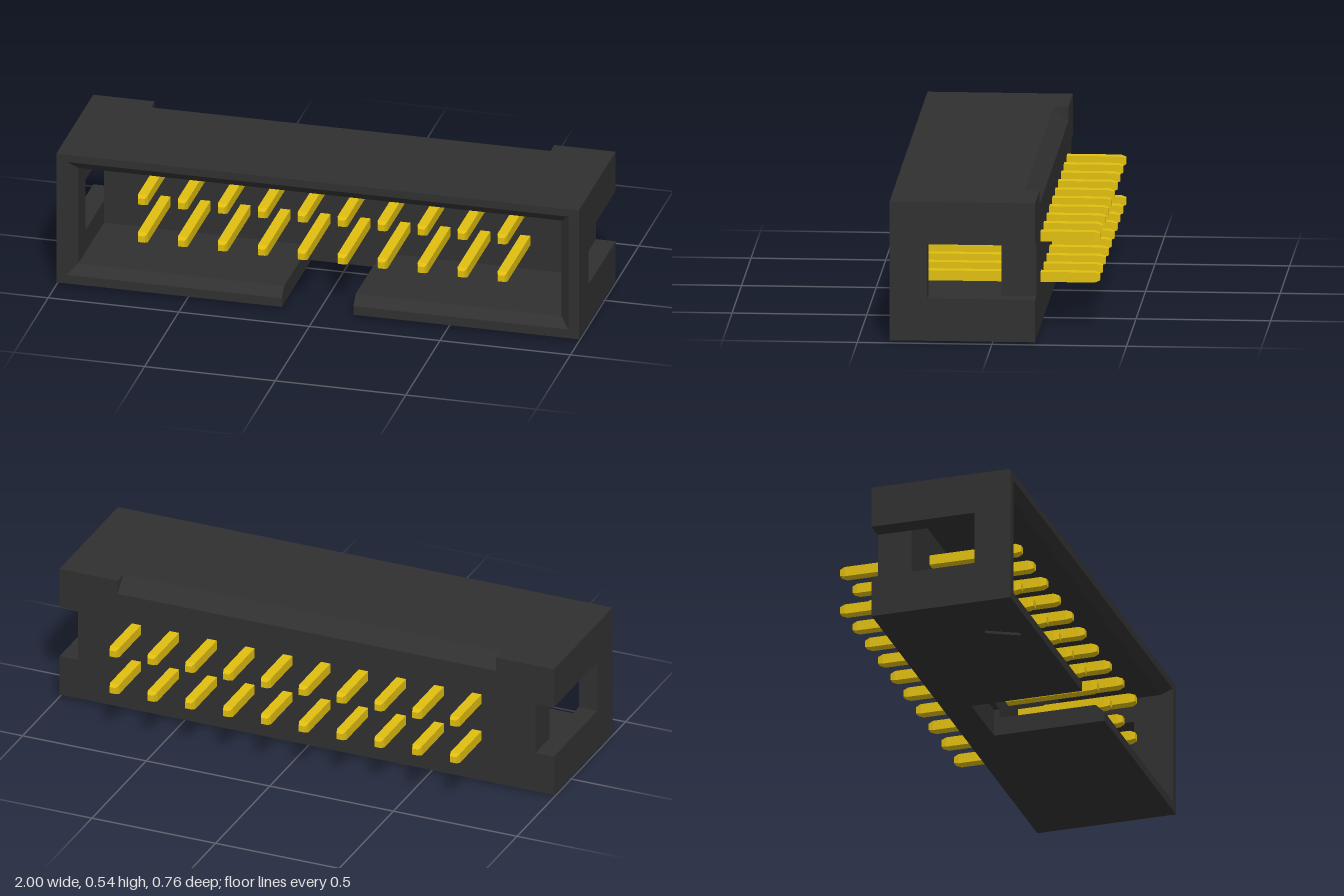
import * as THREE from 'three';

const X = 1, IX = 0.925;                  // outer and inner half width
const Y0 = 0.01, Y1 = 0.535;              // outer bottom and top
const IY0 = 0.08, IY1 = 0.47;             // cavity bottom and top
const WY0 = 0.17, WY1 = 0.375;            // side window bottom and top
const KEY = 0.137, KEY_TOP = 0.115;       // key slot half width and top in the base
const BACK = -0.16, FLOOR = -0.03, WINDOW = 0.24, FRONT = 0.38;
const LIP = 0.035, BEVEL = 0.055, BEVEL_X = 0.765;

export function createModel() {
  const group = new THREE.Group();
  const plastic = new THREE.MeshStandardMaterial({ color: 0x303030 });
  const gold = new THREE.MeshStandardMaterial({ color: 0xe0be10 });

  const add = (name, geometry, material = plastic) => {
    const mesh = new THREE.Mesh(geometry, material);
    mesh.name = name;
    group.add(mesh);
    return mesh;
  };
  // Cross-section in x, y swept from z0 to z1
  const slab = (points, z0, z1) => {
    const shape = new THREE.Shape(points.map(([x, y]) => new THREE.Vector2(x, y)));
    return new THREE.ExtrudeGeometry(shape, { depth: z1 - z0, bevelEnabled: false }).translate(0, 0, z0);
  };
  // Right half of an outline (bottom to top) mirrored into a closed loop
  const mirrored = (half) => [...half, ...half.slice().reverse().map(([x, y]) => [-x, y])];

  // Front frame, open at the key slot
  const frame = [
    [KEY, Y0], [X, Y0], [X, Y1], [-X, Y1], [-X, Y0], [-KEY, Y0],
    [-KEY, IY0], [-IX, IY0], [-IX, IY1], [IX, IY1], [IX, IY0], [KEY, IY0],
  ];
  add('frontFrame', slab(frame, WINDOW, FRONT - LIP));

  // Chamfered lip: inner front corners spread outwards
  const lip = slab(frame, FRONT - LIP, FRONT);
  const p = lip.attributes.position;
  for (let i = 0; i < p.count; i++) {
    const x = p.getX(i), y = p.getY(i);
    if (p.getZ(i) < FRONT - LIP / 2 || y < IY0 - 0.001 || y > IY1 + 0.001 || Math.abs(x) > IX + 0.001) continue;
    p.setY(i, y < 0.25 ? y - LIP : y + LIP);
    if (Math.abs(x) > 0.5) p.setX(i, x + Math.sign(x) * LIP);
  }
  lip.computeVertexNormals();
  add('chamferedLip', lip);

  // Walls above and below the side windows
  add('topWall', slab([
    [X, WY1], [X, Y1], [-X, Y1], [-X, WY1], [-IX, WY1], [-IX, IY1], [IX, IY1], [IX, WY1],
  ], FLOOR, WINDOW));
  const lowerWall = [[KEY, Y0], [X, Y0], [X, WY0], [IX, WY0], [IX, IY0], [KEY, IY0]];
  add('bottomWallLeft', slab(lowerWall, FLOOR, WINDOW));
  add('bottomWallRight', slab(lowerWall.map(([x, y]) => [-x, y]).reverse(), FLOOR, WINDOW));

  // Base with recessed ends, the key slot cut slightly into its front
  const side = [[X, Y0], [X, WY0], [IX, WY0], [IX, WY1], [X, WY1], [X, Y1]];
  add('slottedBase', slab(mirrored([[KEY, KEY_TOP], [KEY, Y0], ...side]), FLOOR - 0.02, FLOOR));
  add('base', slab(mirrored(side), BACK + BEVEL, FLOOR - 0.02));

  // Rear slice with a bevelled top edge between the ends
  add('rearBase', slab(mirrored([...side, [BEVEL_X, Y1], [BEVEL_X, Y1 - BEVEL]]), BACK, BACK + BEVEL));
  const wedge = slab([[0, 0], [BEVEL, 0], [0, BEVEL]], -BEVEL_X, BEVEL_X);
  wedge.rotateY(Math.PI / 2).translate(0, Y1 - BEVEL, BACK + BEVEL);
  add('rearBevel', wedge);

  // Raised triangular marker under the front corner
  const marker = slab([[-0.75, -0.2], [-0.69, -0.32], [-0.63, -0.2]], 0, 0.012);
  add('pinOneMarker', marker.rotateX(-Math.PI / 2));

  // Square pins with tapered tips
  const zs = [-0.38, -0.36, 0.305, 0.325];
  const box = new THREE.BoxGeometry(0.038, 0.038, 3, 1, 1, 3);
  const b = box.attributes.position;
  for (let i = 0; i < b.count; i++) {
    const k = Math.round(b.getZ(i) + 1.5);
    const s = k === 0 || k === 3 ? 0.66 : 1;
    b.setXYZ(i, b.getX(i) * s, b.getY(i) * s, zs[k]);
  }
  const pin = box.toNonIndexed();
  pin.computeVertexNormals();
  for (const y of [0.197, 0.35]) {
    for (let i = 0; i < 10; i++) add('pin', pin, gold).position.set((i - 4.5) * 0.153, y, 0);
  }
  return group;
}
